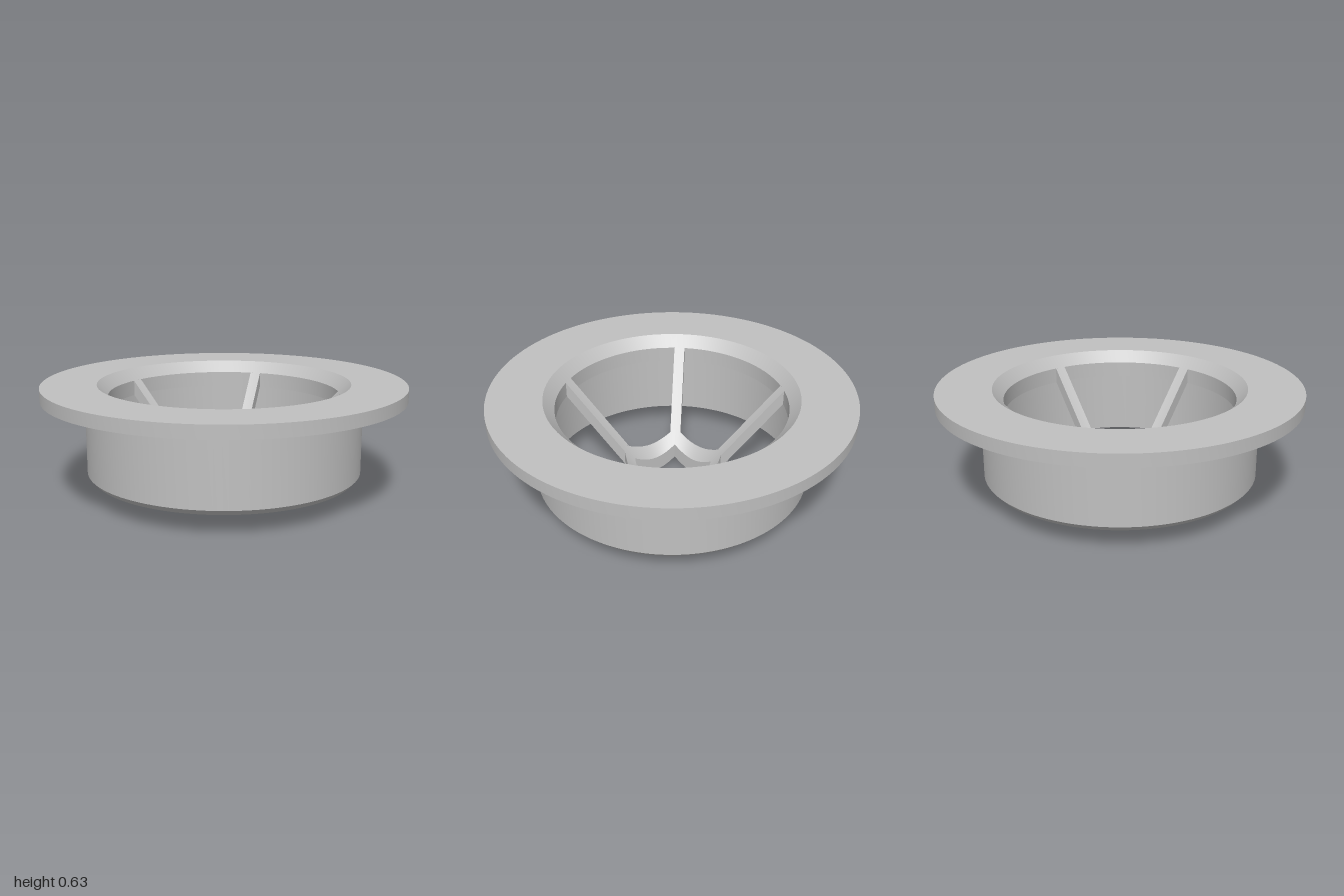
import * as THREE from 'three';
import { toCreasedNormals } from 'three/addons/utils/BufferGeometryUtils.js';

const SLOPE = 1.07;        // steepness of the funnel cone
const THICK = 0.087;       // vertical thickness of the funnel shell
const IN = 0.187, OUT = 0.245; // inner and outer apothem of the pentagon
const HOLE = 0.636;        // radius where the funnel openings end
const RIB = 0.03;          // half width of a rib

const coneY = (r) => SLOPE * (r - IN);

// Bends a box onto the cone shell: plan(a, v) maps unit coordinates to radial and sideways position.
function shellBar(segA, segV, plan, keepFrom, keepTo) {
  const geo = new THREE.BoxGeometry(1, 1, 1, segA, 1, segV);
  // leave out the hidden end faces
  const first = geo.groups[keepFrom], last = geo.groups[keepTo];
  geo.setIndex(Array.from(geo.index.array).slice(first.start, last.start + last.count));
  geo.clearGroups();
  const p = geo.attributes.position;
  for (let i = 0; i < p.count; i++) {
    const [x, z] = plan(p.getX(i) + 0.5, p.getZ(i) * 2);
    p.setXYZ(i, x, coneY(Math.hypot(x, z)) + (p.getY(i) > 0 ? THICK : 0), z);
  }
  return toCreasedNormals(geo, 0.5);
}

export function createModel() {
  const group = new THREE.Group();
  const grey = new THREE.MeshStandardMaterial({ color: 0xc0c0c0 });
  grey.name = 'plainGrey';

  const add = (name, geo, angle = 0) => {
    const mesh = new THREE.Mesh(geo, grey);
    mesh.name = name;
    mesh.rotation.y = -angle;
    group.add(mesh);
  };

  // Flange, sleeve and funnel rim in one turned profile
  const profile = [
    [HOLE, coneY(HOLE) + THICK], [HOLE, coneY(HOLE)], [0.7, coneY(0.7)],
    [0.7, 0.115], [0.735, 0.115], [0.762, 0.145], [0.762, 0.56],
    [1, 0.56], [1, 0.63], [0.695, 0.63], [HOLE, coneY(HOLE) + THICK],
  ].map(([r, y]) => new THREE.Vector2(r, y));
  add('flangedSleeve', toCreasedNormals(new THREE.LatheGeometry(profile, 128), 0.4));

  // Straight pentagon side, mitred at both ends
  const side = shellBar(3, 20, (a, v) => {
    const r = IN + (OUT - IN) * a;
    return [r, v * r * Math.tan(Math.PI / 5)];
  }, 0, 3);

  // Rib from a pentagon corner to the funnel rim
  const corner = OUT / Math.cos(Math.PI / 5);
  const rib = shellBar(8, 4, (a, v) => {
    const z = v * RIB;
    const start = corner - Math.abs(z) * Math.tan(Math.PI / 5);
    const end = Math.sqrt(HOLE * HOLE - z * z);
    return [start + (end - start) * a, z];
  }, 2, 5);

  for (let k = 0; k < 5; k++) {
    const angle = THREE.MathUtils.degToRad(10 + 72 * k);
    add('funnelRib', rib, angle);
    add('pentagonSide', side, angle + Math.PI / 5);
  }
  return group;
}
